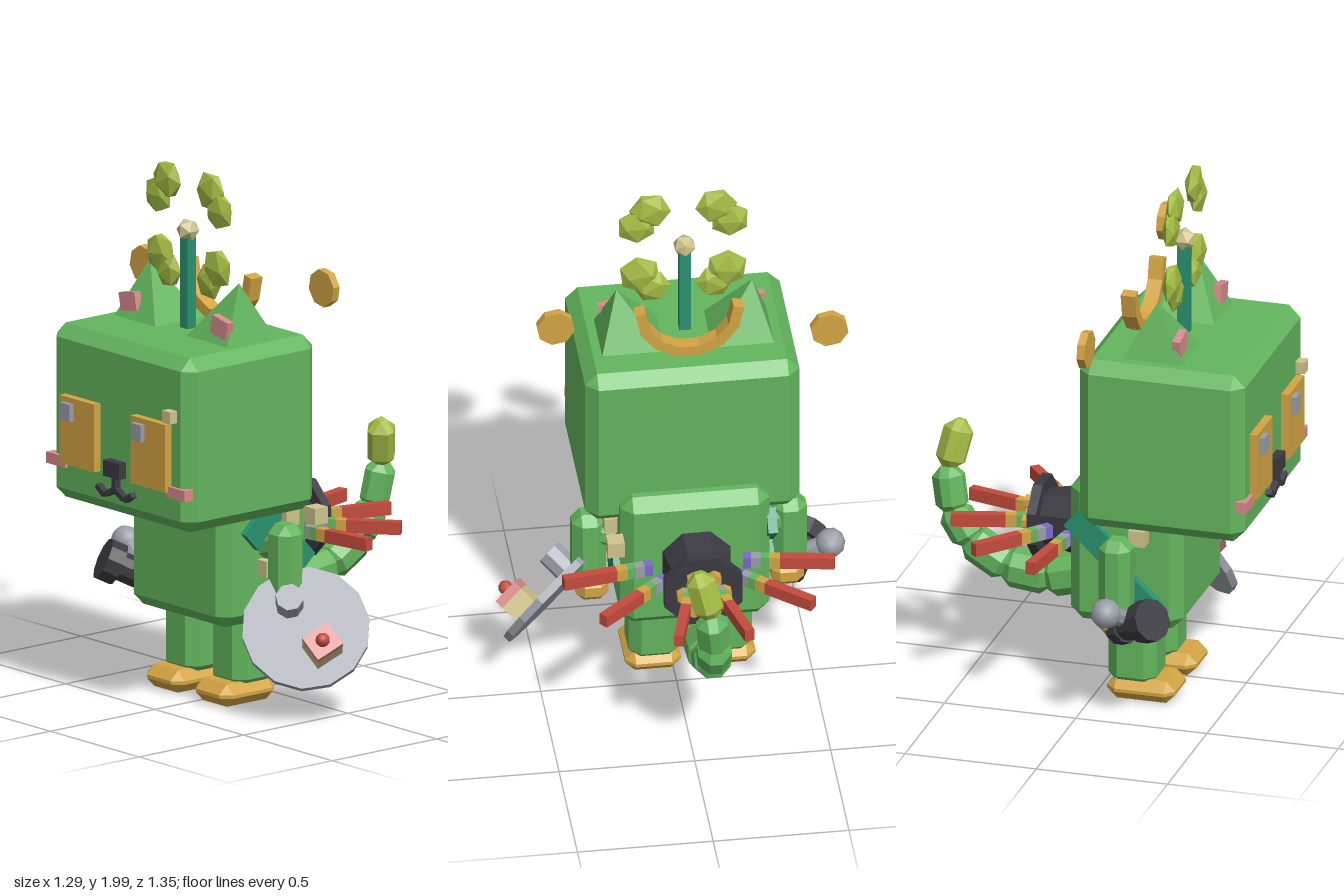
import * as THREE from 'three';
import { ConvexGeometry } from 'three/addons/geometries/ConvexGeometry.js';

const V = (x, y, z) => new THREE.Vector3(x, y, z);
const MID = -0.0625; // the body's own mirror plane
const mirrorX = (x) => 2 * MID - x;

function makeMaterials() {
  const colours = {
    green: 0x63b55d, gold: 0xd4a544, charcoal: 0x3b3a42, grey: 0x9a9ea7, red: 0xc54b3d,
    pink: 0xd98c8c, cream: 0xd0c48e, teal: 0x2a9270, leaf: 0xa5be45, violet: 0x7c6bcb,
  };
  const mats = {};
  for (const [name, color] of Object.entries(colours)) {
    mats[name] = new THREE.MeshStandardMaterial({ color });
    mats[name].name = name;
  }
  return mats;
}

// Box with every edge cut off at 45 degrees
function chamferBox(w, h, d, c) {
  const pts = [];
  const [a, b, e] = [w / 2, h / 2, d / 2];
  for (const i of [-1, 1]) for (const j of [-1, 1]) for (const k of [-1, 1]) {
    pts.push(V(i * a, j * (b - c), k * (e - c)));
    pts.push(V(i * (a - c), j * b, k * (e - c)));
    pts.push(V(i * (a - c), j * (b - c), k * e));
  }
  return new ConvexGeometry(pts);
}

const box = (w, h, d) => new THREE.BoxGeometry(w, h, d);

function cylinder(rTop, rBottom, h, sides) {
  const g = new THREE.CylinderGeometry(rTop, rBottom, h, sides).toNonIndexed();
  g.computeVertexNormals();
  return g;
}

export function createModel() {
  const root = new THREE.Group();
  const M = makeMaterials();

  const add = (name, geo, mat, x, y, z, parent = root) => {
    const mesh = new THREE.Mesh(geo, mat);
    mesh.name = name;
    mesh.position.set(x, y, z);
    parent.add(mesh);
    return mesh;
  };
  // Place a mesh with its y axis along a -> b
  const along = (mesh, a, b) => {
    mesh.position.copy(a).add(b).multiplyScalar(0.5);
    mesh.quaternion.setFromUnitVectors(V(0, 1, 0), b.clone().sub(a).normalize());
    return mesh;
  };

  // Head and body
  add('head', chamferBox(0.79, 0.655, 0.63, 0.045), M.green, MID, 1.0625, 0.305);
  add('body', chamferBox(0.55, 0.56, 0.43, 0.045), M.green, MID, 0.59, 0.135);

  // Paired parts, s = -1 for the model's right and 1 for its left
  for (const s of [-1, 1]) {
    const X = (offset) => MID + s * offset;

    // Legs and feet
    add('leg', chamferBox(0.19, 0.34, 0.185, 0.042), M.green, X(0.1325), 0.22, 0.142);
    add('foot', chamferBox(0.205, 0.085, 0.26, 0.036), M.gold, X(0.1375), 0.0425, 0.18);

    // Arms and hands
    add('arm', chamferBox(0.125, 0.31, 0.12, 0.035), M.green, X(0.37), 0.545, 0.135);
    add('shoulder', chamferBox(0.12, 0.09, 0.1, 0.025), M.green, X(0.3), 0.605, 0.13)
      .rotation.z = s * 0.35;
    add('hand', chamferBox(0.12, 0.1, 0.12, 0.03), M.gold, X(0.36), 0.375, 0.13);

    // Ears leaning outwards
    const ear = [V(X(0.32), 1.38, 0.375), V(X(0.08), 1.38, 0.375), V(X(0.32), 1.38, 0.135),
      V(X(0.08), 1.38, 0.135), V(X(0.25), 1.6, 0.255)];
    add('ear', new ConvexGeometry(ear), M.green, 0, 0, 0);
    add('innerEar', box(0.09, 0.07, 0.03), M.pink, X(0.257), 1.45, 0.343).rotation.z = -s * 0.2;

    // Eyes and cheeks
    const eyeX = X(0.2);
    add('eye', box(0.195, 0.255, 0.04), M.gold, eyeX, 1.0125, 0.63);
    add('pupil', box(0.055, 0.065, 0.03), M.grey, eyeX - 0.045, 1.0875, 0.655);
    add('cheek', box(0.105, 0.042, 0.04), M.pink, X(0.337), 0.885, 0.615);

    // Curled halves of the mouth
    add('mouthInner', box(0.055, 0.02, 0.03), M.charcoal, X(0.026), 0.825, 0.63).rotation.z = -s * 0.5;
    add('mouthOuter', box(0.05, 0.02, 0.03), M.charcoal, X(0.078), 0.822, 0.63).rotation.z = s * 0.6;

    // Leaf puffs above the ears
    for (const [ox, y, r] of [[0.122, 1.925, 0.078], [0.172, 1.86, 0.075],
      [0.16, 1.642, 0.08], [0.115, 1.585, 0.07]]) {
      const puff = add('leafPuff', new THREE.IcosahedronGeometry(r, 0), M.leaf, X(ox), y, 0.283);
      puff.scale.z = 0.38;
      puff.rotation.z = s * (ox * 9);
    }

    // Colour-banded rays fanned out behind
    for (const deg of [8.6, 40, 75]) {
      const ray = new THREE.Group();
      ray.name = 'ray';
      ray.position.set(MID, 0.598, -0.08);
      ray.rotation.y = s > 0 ? THREE.MathUtils.degToRad(deg) : Math.PI - THREE.MathUtils.degToRad(deg);
      root.add(ray);
      for (const [from, to, mat] of [[0.17, 0.2, M.violet], [0.2, 0.235, M.grey],
        [0.235, 0.265, M.green], [0.265, 0.305, M.gold], [0.305, 0.505, M.red]]) {
        add('rayBand', box(to - from, 0.048, 0.036), mat, (from + to) / 2, 0, 0, ray);
      }
    }
  }

  // Nose and mouth stem
  add('nose', box(0.09, 0.06, 0.05), M.charcoal, -0.0645, 0.915, 0.63);
  add('mouthStem', box(0.02, 0.06, 0.03), M.charcoal, MID, 0.86, 0.63);

  // Antenna
  add('antennaPole', box(0.042, 0.36, 0.042), M.teal, -0.067, 1.555, 0.283);
  add('antennaBall', new THREE.IcosahedronGeometry(0.044, 0), M.cream, -0.067, 1.757, 0.283);

  // Upturned crescent of gold blocks
  for (let i = 0; i < 7; i++) {
    const a = Math.PI + 0.22 + (i / 6) * (Math.PI - 0.44);
    add('crescentBlock', box(0.092, 0.04, 0.055), M.gold,
      MID + 0.175 * Math.cos(a), 1.587 + 0.175 * Math.sin(a), 0.127).rotation.z = a + Math.PI / 2;
  }

  // Floating coins
  for (const [x, y] of [[-0.57, 1.495], [0.438, 1.6]]) {
    add('coin', cylinder(0.071, 0.071, 0.03, 8), M.gold, x, y, 0.06).rotation.set(Math.PI / 2, 0.2, 0);
  }

  // Teal patches on the sides of the body
  for (const [x, y, z] of [[0.22, 0.69, 0.17], [0.22, 0.515, 0.03], [-0.355, 0.45, 0.19], [-0.345, 0.67, 0.01]]) {
    add('sidePatch', box(0.035, 0.095, 0.18), M.teal, x, y, z).rotation.x = 0.75;
  }

  // Cream studs
  for (const [x, y, z] of [[0.235, 0.685, -0.073], [0.23, 0.7, 0.06], [0.235, 0.525, 0.16], [-0.367, 0.69, 0.2]]) {
    add('stud', box(0.062, 0.062, 0.062), M.cream, x, y, z);
  }
  add('browStud', box(0.045, 0.045, 0.05), M.cream, 0.245, 1.172, 0.63);

  // Back thruster with a ring of gold vents
  const thruster = new THREE.Group();
  thruster.name = 'thruster';
  thruster.position.set(MID, 0.597, 0);
  thruster.rotation.x = -Math.PI / 2; // local y points backwards
  root.add(thruster);
  add('thrusterHull', cylinder(0.1, 0.137, 0.19, 8), M.charcoal, 0, 0.165, 0, thruster).rotation.y = Math.PI / 8;
  add('thrusterRim', cylinder(0.155, 0.155, 0.036, 8), M.charcoal, 0, 0.258, 0, thruster).rotation.y = Math.PI / 8;
  for (let i = 0; i < 6; i++) {
    const a = (i * Math.PI) / 3;
    add('vent', cylinder(0.027, 0.027, 0.045, 6), M.gold,
      0.076 * Math.cos(a), 0.286, 0.076 * Math.sin(a), thruster);
  }
  add('ventCore', cylinder(0.036, 0.036, 0.05, 6), M.gold, 0, 0.29, 0, thruster);

  // Tail of chained blocks with a leaf-coloured tip
  const tail = [V(MID, 0.41, -0.05), V(MID, 0.365, -0.23), V(-0.065, 0.385, -0.39),
    V(-0.065, 0.47, -0.53), V(-0.06, 0.58, -0.6), V(-0.045, 0.73, -0.625), V(0, 0.915, -0.585)];
  for (let i = 0; i < tail.length - 1; i++) {
    const tip = i === tail.length - 2;
    const w = 0.148 - i * 0.008;
    const len = tail[i].distanceTo(tail[i + 1]) + (tip ? 0 : 0.035);
    along(add(tip ? 'tailTip' : 'tailSegment', chamferBox(w, len, w, 0.04), tip ? M.leaf : M.green, 0, 0, 0),
      tail[i], tail[i + 1]);
  }

  // Blaster in the right hand
  const rear = V(-0.425, 0.345, 0.14), muzzle = V(-0.525, 0.435, 0.3);
  const at = (t) => rear.clone().lerp(muzzle, t);
  for (const [t0, t1, r] of [[0, 0.25, 0.065], [0.25, 0.7, 0.056], [0.7, 1, 0.08]]) {
    along(add('blasterBarrel', cylinder(r, r, at(t0).distanceTo(at(t1)), 10), M.charcoal, 0, 0, 0), at(t0), at(t1));
  }
  const knob = V(-0.585, 0.465, 0.14), neck = V(-0.46, 0.4, 0.17);
  along(add('blasterNeck', cylinder(0.035, 0.035, knob.distanceTo(neck), 8), M.grey, 0, 0, 0), neck, knob);
  add('blasterKnob', new THREE.IcosahedronGeometry(0.056, 1), M.grey, knob.x, knob.y, knob.z);

  // Shield on the left arm, local y points out of its face
  const shield = new THREE.Group();
  shield.name = 'shield';
  const n = V(0.65, 0.54, 0.54).normalize();
  const u = V(-0.08, 0.075, 0.015);
  u.addScaledVector(n, -u.dot(n)).normalize();
  shield.quaternion.setFromRotationMatrix(new THREE.Matrix4().makeBasis(u, n, u.clone().cross(n)));
  shield.position.set(0.44, 0.33, 0.15);
  root.add(shield);
  add('shieldDisc', cylinder(0.235, 0.235, 0.03, 14), M.grey, 0, 0, 0, shield);
  add('shieldBoss', cylinder(0.052, 0.052, 0.11, 8), M.grey, 0.105, 0.055, 0, shield);
  add('buttonBase', box(0.1, 0.085, 0.11), M.cream, -0.105, 0.05, 0, shield);
  add('buttonPlate', box(0.102, 0.035, 0.112), M.pink, -0.105, 0.107, 0, shield);
  add('button', new THREE.IcosahedronGeometry(0.027, 1), M.red, -0.105, 0.135, 0, shield);

  return root;
}
